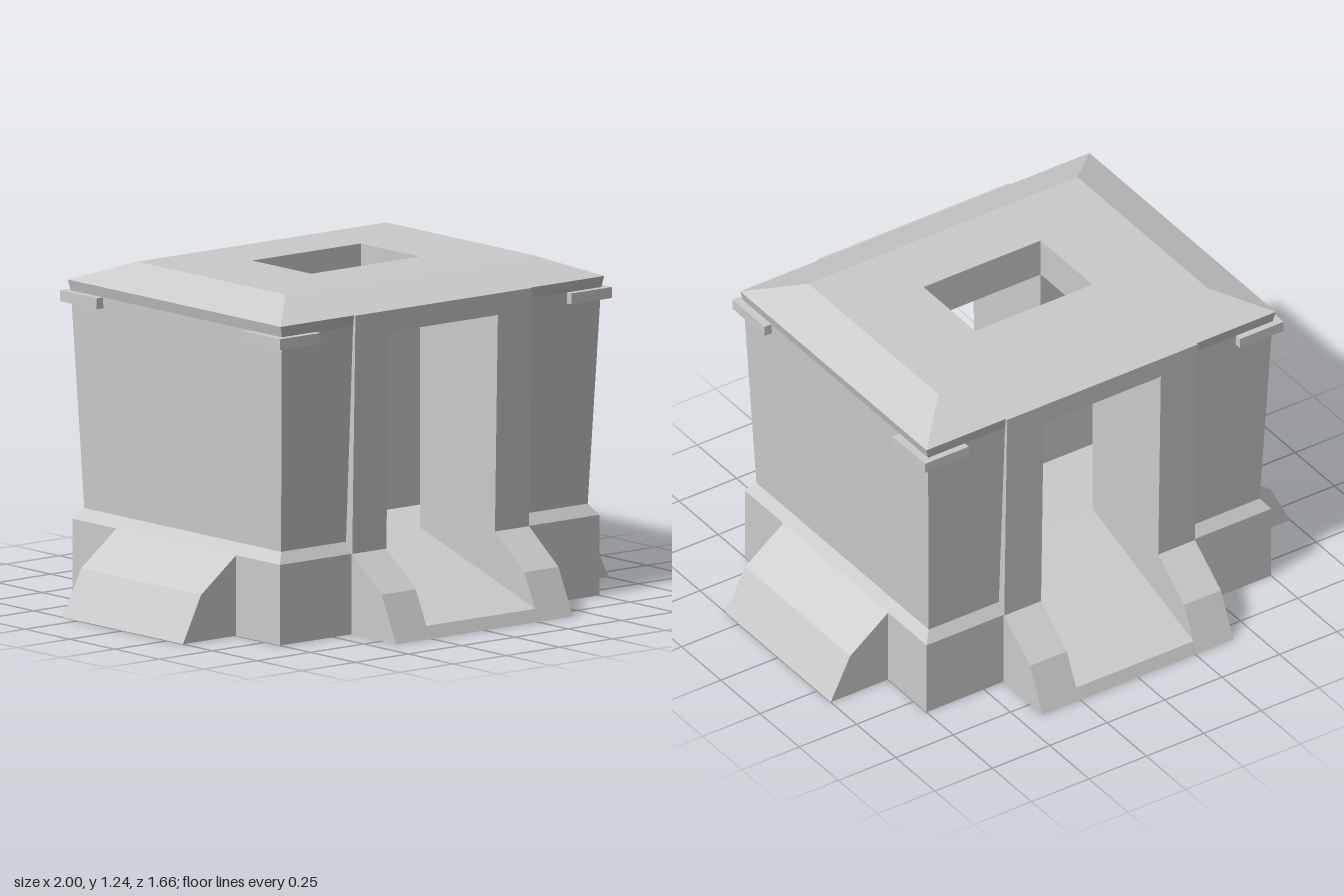
import * as THREE from 'three';

const material = new THREE.MeshStandardMaterial({ color: 0xcccccc, flatShading: true });

// Skin a stack of horizontal loops of [x, y, z] points
function loft(loops) {
  const pos = [];
  for (let i = 0; i < loops.length - 1; i++) {
    const lo = loops[i], hi = loops[i + 1];
    for (let j = 0; j < lo.length; j++) {
      const k = (j + 1) % lo.length;
      pos.push(...lo[j], ...lo[k], ...hi[k], ...lo[j], ...hi[k], ...hi[j]);
    }
  }
  const geo = new THREE.BufferGeometry();
  geo.setAttribute('position', new THREE.Float32BufferAttribute(pos, 3));
  geo.computeVertexNormals();
  return geo;
}

const rect = (y, x, z) => [[-x, y, z], [x, y, z], [x, y, -z], [-x, y, -z]];

// Box given by its limits
function block(x0, x1, y0, y1, z0, z1) {
  return new THREE.BoxGeometry(x1 - x0, y1 - y0, z1 - z0)
    .translate((x0 + x1) / 2, (y0 + y1) / 2, (z0 + z1) / 2);
}

// Profile in (x, y), extruded along z
function prismZ(points, z0, z1) {
  const shape = new THREE.Shape(points.map(([x, y]) => new THREE.Vector2(x, y)));
  return new THREE.ExtrudeGeometry(shape, { depth: z1 - z0, bevelEnabled: false }).translate(0, 0, z0);
}

// Profile in (z, y), extruded along x
const prismX = (points, x0, x1) => prismZ(points, -x1, -x0).rotateY(-Math.PI / 2);

export function createModel() {
  const model = new THREE.Group();
  const add = (name, geo, parent = model) => {
    const mesh = new THREE.Mesh(geo, material);
    mesh.name = name;
    parent.add(mesh);
  };

  const DOOR = 0.255, PIER = 0.415, HALL = 0.165, ALCOVE = 0.55;
  const CEILING = 1.09, FLOOR = 0.25;

  // Floor with a ramp at each doorway
  add('floorAndRamps', prismX([
    [0.83, 0], [0.81, 0.045], [HALL, FLOOR], [-HALL, FLOOR], [-0.81, 0.045], [-0.83, 0],
  ], -DOOR, DOOR));

  // Hipped roof with a rectangular skylight
  add('roof', loft([
    rect(1.13, 0.75, 0.59), rect(1.17, 0.76, 0.595), rect(1.24, 0.585, 0.415),
    rect(1.24, DOOR, HALL), rect(1.13, DOOR, HALL), rect(1.13, 0.75, 0.59),
  ]));

  // Each half: the second is the first turned by 180 degrees
  for (const [i, side] of ['left', 'right'].entries()) {
    const half = new THREE.Group();
    half.name = side + 'Half';
    half.rotation.y = i * Math.PI;
    model.add(half);

    // Tapered wall on a plinth, wrapped around an inner alcove
    const levels = [[0, 0.75, 0.58], [0.295, 0.75, 0.58], [0.335, 0.72, 0.55], [1.14, 0.75, 0.59]];
    add('wall', loft(levels.map(([y, x, z]) => [
      [0.4, z], [x, z], [x, -z], [0.4, -z],
      [0.4, -HALL], [ALCOVE, -HALL], [ALCOVE, HALL], [0.4, HALL],
    ].map(([px, pz]) => [px, y, pz]))), half);
    add('foundation', block(0.4, 0.74, 0, 0.2, -0.57, 0.57), half);
    add('alcoveFloor', block(DOOR, 0.56, 0, FLOOR, -HALL, HALL), half);
    add('alcoveCeiling', block(DOOR, 0.56, CEILING, 1.14, -HALL, HALL), half);

    // Sloping buttress on the outer side
    add('sideButtress', prismZ([
      [0.7, 0], [1, 0], [0.915, 0.17], [0.75, 0.295], [0.7, 0.33],
    ], -0.335, 0.335), half);

    // Door piers with sloping feet, on both sides of the doorway
    const pier = [[HALL, 0], [0.83, 0], [0.75, 0.17], [0.585, 0.295], [0.603, 1.17], [HALL, 1.17]];
    add('doorPier', prismX(pier, DOOR, PIER), half);
    add('doorPier', prismX(pier, -PIER, -DOOR), half);

    // Lintel over the doorway, carried in to the skylight
    add('lintel', prismX([
      [HALL, CEILING], [0.601, CEILING], [0.603, 1.17], [HALL, 1.17],
    ], -DOOR, DOOR), half);

    // L-shaped brackets under the eaves
    for (const s of [1, -1]) {
      const z = (a, b) => (s > 0 ? [a, b] : [-b, -a]);
      add('cornerBracketFront', block(0.59, 0.78, CEILING, 1.13, ...z(0.56, 0.615)), half);
      add('cornerBracketSide', block(0.72, 0.78, CEILING, 1.13, ...z(0.41, 0.56)), half);
    }
  }
  return model;
}
